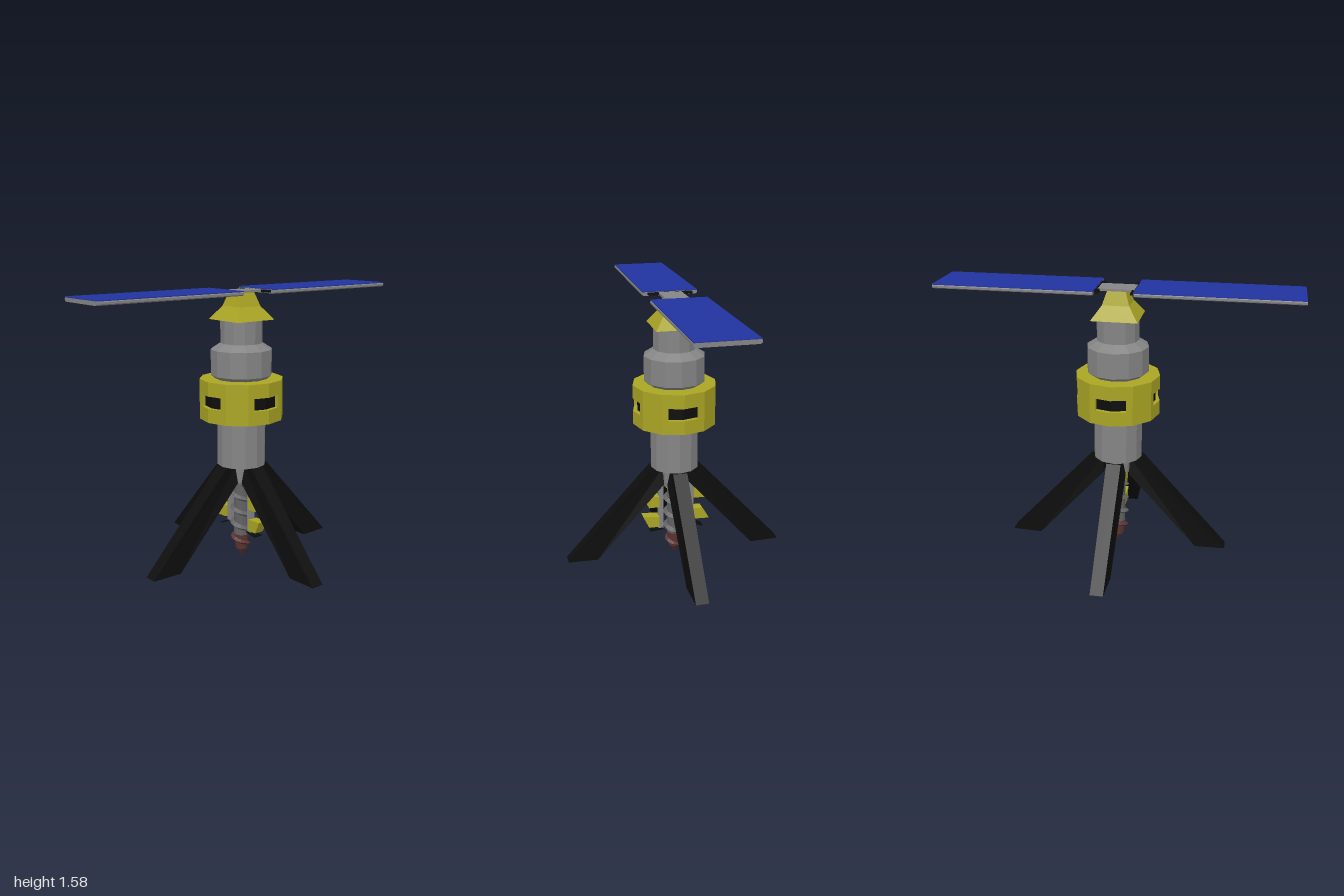
import * as THREE from 'three';

const mat = (name, color) => Object.assign(new THREE.MeshStandardMaterial({ color }), { name });

export function createModel() {
  const gray = mat('hull gray', 0x858585);
  const drillGray = mat('drill gray', 0x626262);
  const yellow = mat('yellow', 0xaaa524);
  const black = mat('black', 0x0d0d0d);
  const blue = mat('solar blue', 0x2134a0);
  const rust = mat('rust', 0x5c3532);
  const root = new THREE.Group();
  root.name = 'drillingProbe';

  // Faceted mesh helper
  function add(name, geo, material, parent = root) {
    const g = geo.index ? geo.toNonIndexed() : geo;
    g.computeVertexNormals();
    const mesh = new THREE.Mesh(g, material);
    mesh.name = name;
    parent.add(mesh);
    return mesh;
  }
  const box = (x0, x1, y0, y1, z0, z1) => new THREE.BoxGeometry(x1 - x0, y1 - y0, z1 - z0)
    .translate((x0 + x1) / 2, (y0 + y1) / 2, (z0 + z1) / 2);
  const lathe = (pts, sides, start = 0) =>
    new THREE.LatheGeometry(pts.map(([r, y]) => new THREE.Vector2(r, y)), sides, start);
  const shape = (pts) => new THREE.Shape(pts.map(([x, y]) => new THREE.Vector2(x, y)));
  const extrude = (pts, depth) =>
    new THREE.ExtrudeGeometry(shape(pts), { depth, bevelEnabled: false });

  // Stepped twelve-sided hull
  add('hull', lathe([[0, 0.575], [0.14, 0.575], [0.14, 0.825], [0.125, 0.855], [0.125, 1.07],
    [0.15, 1.08], [0.175, 1.1], [0.175, 1.245], [0.12, 1.28], [0.12, 1.415], [0, 1.415]], 12), gray);
  add('drillHub', lathe([[0, 0.47], [0.07, 0.47], [0.08, 0.575], [0, 0.575]], 12), gray);

  // Equipment ring: two full bands, with four recessed windows between them
  const ring = new THREE.Group();
  ring.name = 'equipmentRing';
  root.add(ring);
  const band = (r, y0, y1) =>
    new THREE.CylinderGeometry(r, r, y1 - y0, 12).translate(0, (y0 + y1) / 2, 0);
  add('lowerBand', band(0.24, 0.85, 0.93), yellow, ring);
  add('upperBand', band(0.24, 1.0, 1.08), yellow, ring);
  add('windowCore', band(0.215, 0.93, 1.0), black, ring);
  for (let i = 0; i < 4; i++) {
    const block = extrude([[0.085, 0.15], [0.085, 0.217], [0.12, 0.208], [0.208, 0.12],
      [0.217, 0.085], [0.15, 0.085]], 0.07).rotateX(Math.PI / 2).translate(0, 1.0, 0);
    add('ringBlock', block.rotateY(i * Math.PI / 2), yellow, ring);
  }

  // Square flared cap
  const k = Math.SQRT2;
  add('cap', lathe([[0, 1.41], [0.13 * k, 1.41], [0.075 * k, 1.485], [0.05 * k, 1.562], [0, 1.562]],
    4, Math.PI / 4), yellow);

  // Solar wings, front and back
  add('wingBridge', box(-0.065, 0.065, 1.562, 1.574, -0.1, 0.1), gray);
  for (const side of [0, 1]) {
    const wing = new THREE.Group();
    wing.name = side ? 'backWing' : 'frontWing';
    wing.rotation.y = side * Math.PI;
    root.add(wing);
    add('wingFrame', extrude([[-0.147, 1.555], [0.147, 1.555], [0.157, 1.561], [0.157, 1.572],
      [0.152, 1.577], [-0.152, 1.577], [-0.157, 1.572], [-0.157, 1.561]], 0.89)
      .translate(0, 0, 0.11), gray, wing);
    add('solarCells', box(-0.155, 0.155, 1.576, 1.581, 0.108, 1.0), blue, wing);
    add('wingHinge', box(-0.125, 0.125, 1.56, 1.573, 0.088, 0.112), black, wing);
  }

  // Four splayed legs, narrowing toward the foot and along the top edge
  for (let i = 0; i < 4; i++) {
    const geo = extrude([[0.08, 0.575], [0.075, 0.48], [0.475, 0.025], [0.65, 0.025],
      [0.145, 0.575]], 2).translate(0, 0, -1);
    const p = geo.attributes.position;
    for (let v = 0; v < p.count; v++) {
      const half = p.getY(v) > 0.57 ? 0.042 : 0.06 - 0.04 * (p.getX(v) - 0.075);
      p.setZ(v, p.getZ(v) * half);
    }
    add('leg', geo.rotateY(i * Math.PI / 2), black);
  }

  // Screw thread: a triangular section swept around the drill core
  function thread(y0, y1, core0, core1, out0, out1) {
    const steps = Math.round((y1 - y0) / 0.09 * 16);
    const pos = [], index = [];
    for (let i = 0; i <= steps; i++) {
      const t = i / steps, y = y0 + (y1 - y0) * t, a = y / 0.09 * Math.PI * 2;
      const core = core0 + (core1 - core0) * t, out = out0 + (out1 - out0) * t;
      for (const [r, dy] of [[core, 0.017], [out, 0], [core, -0.017]]) {
        pos.push(r * Math.cos(a), y + dy, r * Math.sin(a));
      }
      if (i === steps) continue;
      for (let j = 0; j < 2; j++) {
        const n = i * 3 + j;
        index.push(n, n + 3, n + 4, n, n + 4, n + 1);
      }
    }
    const g = new THREE.BufferGeometry();
    g.setAttribute('position', new THREE.Float32BufferAttribute(pos, 3));
    g.setIndex(index);
    return g;
  }
  add('drillCore', lathe([[0, 0.14], [0.044, 0.14], [0.046, 0.48], [0, 0.48]], 12), drillGray);
  add('drillThread', thread(0.14, 0.46, 0.042, 0.042, 0.066, 0.066), drillGray);
  add('drillTip', lathe([[0, 0], [0.035, 0.05], [0.046, 0.14], [0, 0.14]], 12), rust);
  add('tipThread', thread(0.05, 0.14, 0.03, 0.042, 0.05, 0.066), rust);

  // Sampling rods beside the drill, each with two fins and a thin scraper
  const rods = [
    { s: 1, x: 0.085, bottom: 0.165, fins: [0.32, 0.19], tilt: -0.1, foot: [0.113, 0.168] },
    { s: -1, x: 0.1, bottom: 0.195, fins: [0.355, 0.215], tilt: 0.42, foot: [-0.132, 0.18] },
  ];
  for (const r of rods) {
    const rod = new THREE.Group();
    rod.name = r.s > 0 ? 'leftSampler' : 'rightSampler';
    root.add(rod);
    add('rod', box(r.s * r.x - 0.015, r.s * r.x + 0.015, r.bottom, 0.5, -0.015, 0.015), gray, rod);
    for (const y of r.fins) {
      const pts = r.s > 0
        ? [[0.098, y], [0.16, y], [0.195, y + 0.073], [0.098, y + 0.067]]
        : [[-0.113, y + 0.004], [-0.208, y], [-0.165, y + 0.072], [-0.113, y + 0.072]];
      add('fin', extrude(pts, 0.06).translate(0, 0, -0.03), yellow, rod);
    }
    add('scraper', new THREE.BoxGeometry(0.08, 0.007, 0.05).rotateZ(r.tilt)
      .translate(r.foot[0], r.foot[1], 0), black, rod);
  }
  return root;
}
